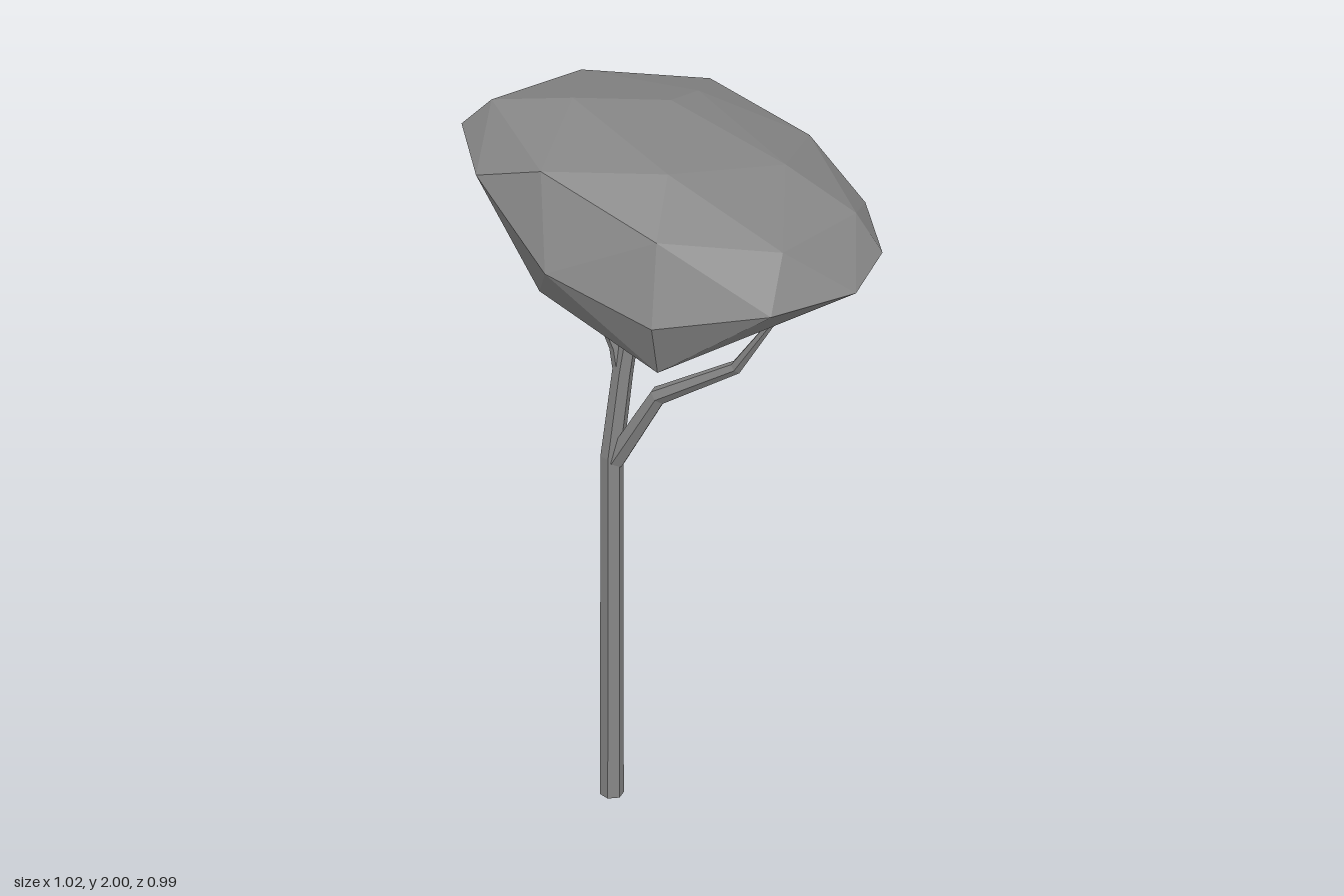
import * as THREE from 'three';
import { ConvexGeometry } from 'three/addons/geometries/ConvexGeometry.js';

const material = new THREE.MeshStandardMaterial({ color: 0x868686, flatShading: true });
const toVectors = (list) => list.map((p) => new THREE.Vector3(p[0], p[1], p[2]));

// Tapered six-sided limb: a cylinder whose rings are moved along a path.
function limb(name, path, radii) {
  const points = toVectors(path);
  const last = points.length - 1;
  const geometry = new THREE.CylinderGeometry(1, 1, 1, 6, last, false, Math.PI / 6);
  const pos = geometry.attributes.position;
  const up = new THREE.Vector3(0, 1, 0);
  const turns = points.map((p, i) => {
    const dir = points[Math.min(i + 1, last)].clone().sub(points[Math.max(i - 1, 0)]).normalize();
    return new THREE.Quaternion().setFromUnitVectors(up, dir);
  });
  const v = new THREE.Vector3();
  for (let k = 0; k < pos.count; k++) {
    v.fromBufferAttribute(pos, k);
    const i = Math.round((v.y + 0.5) * last);
    v.y = 0;
    v.multiplyScalar(radii[i]).applyQuaternion(turns[i]).add(points[i]);
    pos.setXYZ(k, v.x, v.y, v.z);
  }
  geometry.computeVertexNormals();
  const mesh = new THREE.Mesh(geometry, material);
  mesh.name = name;
  return mesh;
}

// Faceted leaf crown, as the hull of its corner points.
function crown() {
  const rim = [
    [-0.10, 1.80, -0.495], [0.19, 1.73, -0.475], [0.40, 1.70, -0.295], [0.505, 1.68, -0.02],
    [0.51, 1.66, 0.21], [0.41, 1.65, 0.39], [0.17, 1.66, 0.495], [-0.135, 1.63, 0.455],
    [-0.38, 1.71, 0.26], [-0.515, 1.87, 0], [-0.515, 1.90, -0.22], [-0.37, 1.86, -0.39],
  ];
  const top = [
    [-0.44, 1.975, -0.20], [-0.24, 2.0, -0.13], [-0.17, 1.92, -0.41], [0.17, 1.85, -0.43],
    [0.02, 1.957, -0.15], [0.11, 1.915, -0.26], [0.39, 1.79, -0.20], [0.45, 1.755, 0.16],
    [0.28, 1.87, 0.08], [0.22, 1.785, 0.385], [-0.05, 1.945, 0.21], [-0.11, 1.845, 0.385],
    [-0.37, 1.945, 0.14],
  ];
  const underside = [
    [-0.11, 1.47, 0.40], [-0.06, 1.48, 0.28], [-0.37, 1.58, 0.12], [0.30, 1.56, 0.30],
    [0.47, 1.60, -0.02], [0.02, 1.58, -0.22], [-0.13, 1.64, -0.40],
  ];
  const mesh = new THREE.Mesh(new ConvexGeometry(toVectors([...rim, ...top, ...underside])), material);
  mesh.name = 'crown';
  return mesh;
}

export function createModel() {
  const tree = new THREE.Group();
  tree.name = 'tree';
  tree.add(
    crown(),
    limb('trunk',
      [[-0.158, 0, -0.013], [-0.158, 1.0, -0.013], [-0.13, 1.25, -0.01], [-0.085, 1.57, 0.0]],
      [0.031, 0.03, 0.028, 0.024]),
    limb('frontBranch',
      [[-0.15, 0.99, -0.01], [-0.05, 1.21, 0.065], [0.13, 1.355, 0.205], [0.225, 1.56, 0.305]],
      [0.029, 0.025, 0.018, 0.008]),
    limb('sideBranch',
      [[-0.135, 1.22, -0.012], [-0.148, 1.32, -0.015], [-0.185, 1.42, -0.022], [-0.26, 1.58, -0.035]],
      [0.017, 0.017, 0.015, 0.011]),
  );
  return tree;
}
